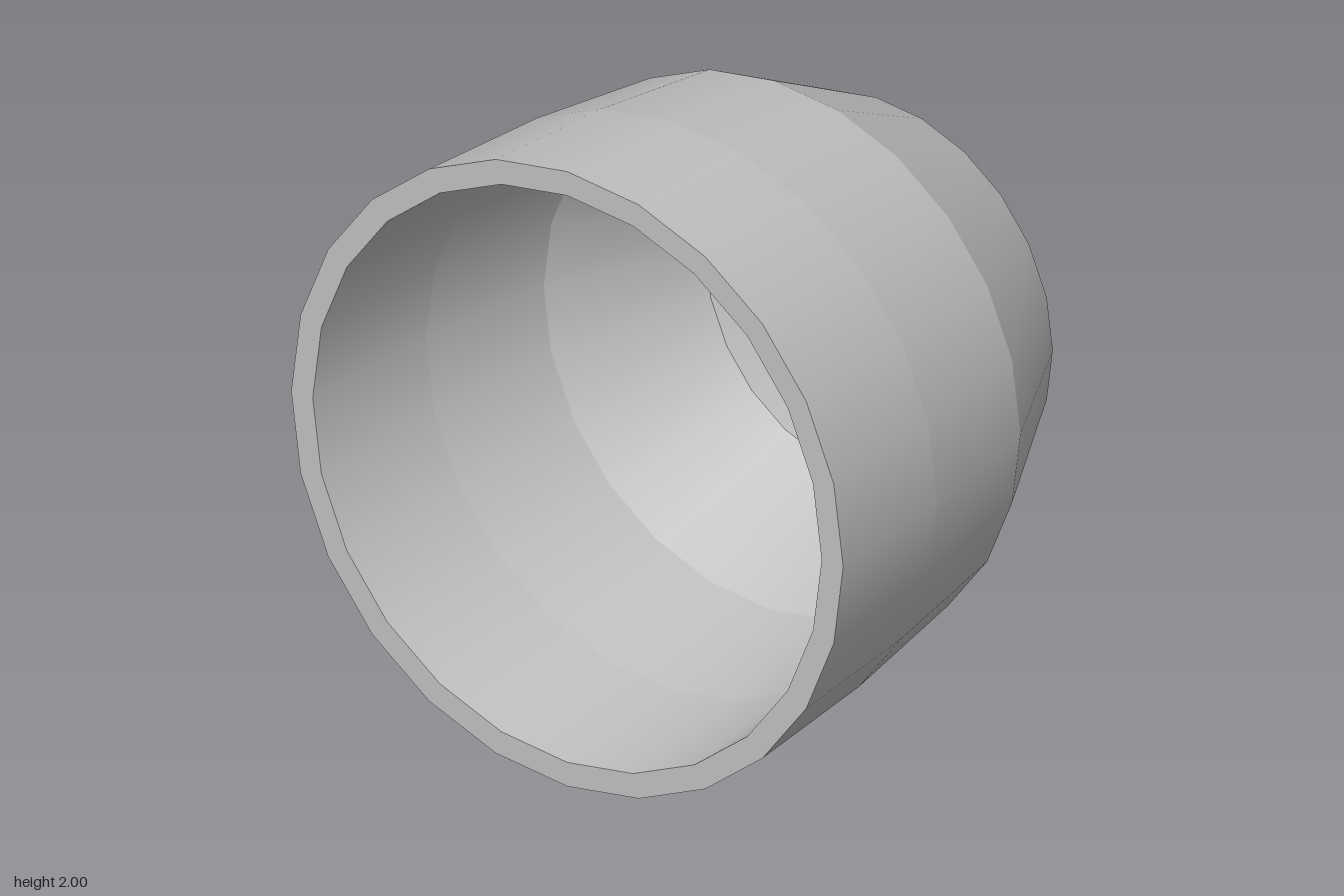
import * as THREE from 'three';
import { mergeGeometries } from 'three/addons/utils/BufferGeometryUtils.js';

const SIDES = 24;

// Revolve each profile segment on its own: smooth around, sharp between bands.
function bands(profile) {
  const parts = [];
  for (let i = 0; i < profile.length - 1; i++) {
    const pts = [profile[i], profile[i + 1]].map(([r, z]) => new THREE.Vector2(r, z));
    parts.push(new THREE.LatheGeometry(pts, SIDES));
  }
  const geometry = mergeGeometries(parts);
  geometry.rotateX(Math.PI / 2); // turn the axis to face +z
  geometry.translate(0, 1, 0);
  return geometry;
}

export function createModel() {
  const group = new THREE.Group();
  group.name = 'hollowCap';

  const grey = new THREE.MeshStandardMaterial({ color: 0xc0c0c0 });
  grey.name = 'light grey';

  // Profiles as [radius, z], running from the rear tip over the rim to the inner floor
  const profiles = {
    outerShell: [[0, -0.895], [0.26, -0.87], [0.64, -0.64], [0.895, -0.13], [0.965, 0.38], [1, 0.895]],
    rim: [[1, 0.895], [0.922, 0.895]],
    innerWall: [[0.922, 0.895], [0.887, 0.38], [0.818, -0.11], [0.575, -0.58]],
    innerFloor: [[0.575, -0.58], [0, -0.8]],
  };

  for (const [name, profile] of Object.entries(profiles)) {
    const mesh = new THREE.Mesh(bands(profile), grey);
    mesh.name = name;
    group.add(mesh);
  }
  return group;
}
